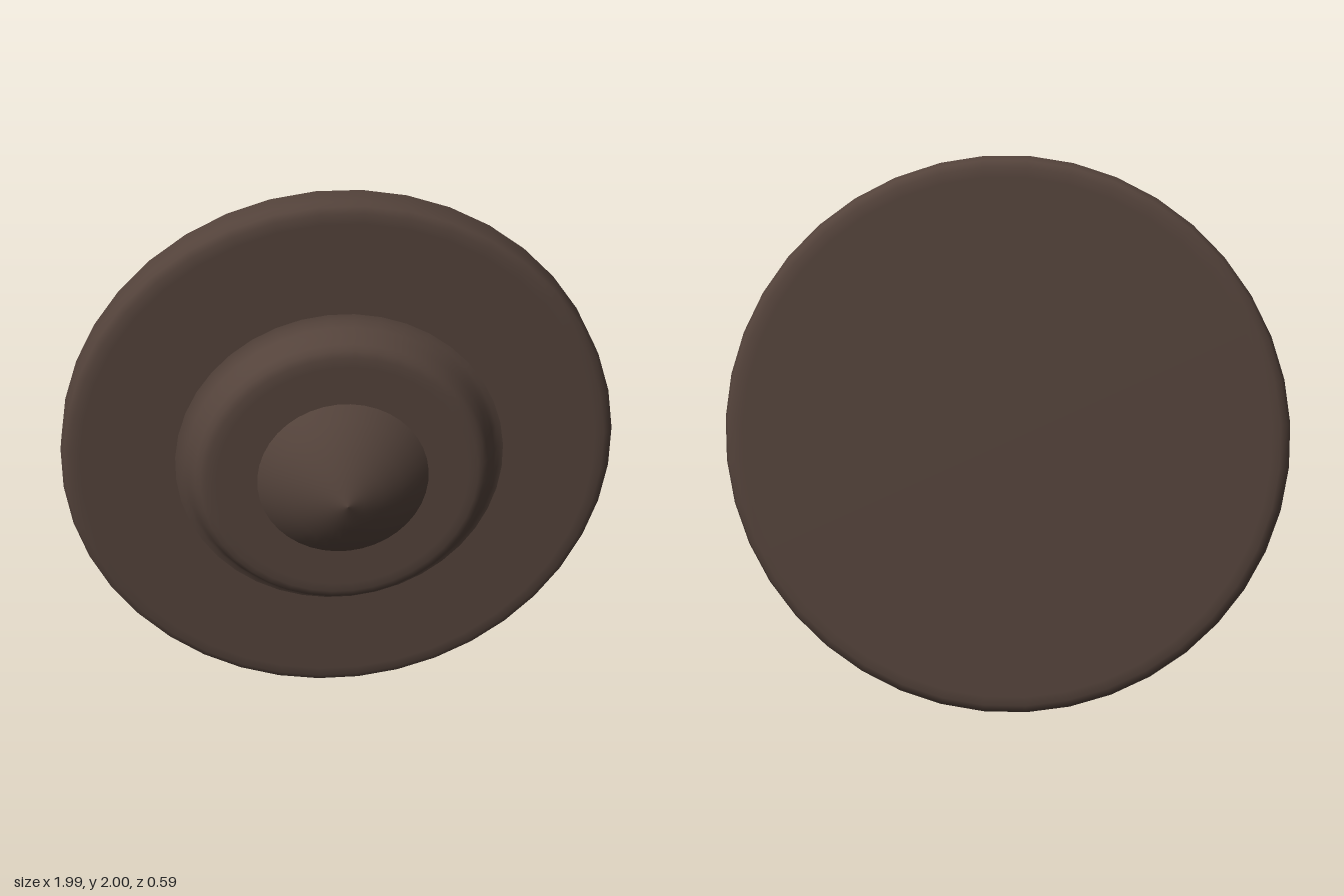
import * as THREE from 'three';

const SEGMENTS = 40;

export function createModel() {
  const model = new THREE.Group();
  model.name = 'bossedDisc';
  const material = new THREE.MeshStandardMaterial({ color: 0x54433b });

  // The disc leans slightly to its right and downwards
  const disc = new THREE.Group();
  disc.name = 'tiltedDisc';
  disc.position.set(0, 1, -0.093);
  disc.quaternion.setFromUnitVectors(
    new THREE.Vector3(0, 0, 1),
    new THREE.Vector3(-0.122, -0.05, 1).normalize()
  );
  model.add(disc);

  // Turned part: [radius, distance along the axis] from back to front
  const turned = (name, profile) => {
    const points = profile.map(([r, d]) => new THREE.Vector2(r, d));
    const geometry = new THREE.LatheGeometry(points, SEGMENTS, Math.PI / SEGMENTS);
    geometry.rotateX(Math.PI / 2);
    const mesh = new THREE.Mesh(geometry, material);
    mesh.name = name;
    disc.add(mesh);
  };

  // Flat plate with a softly rounded rim
  turned('plate', [
    [0, -0.082], [0.93, -0.082], [0.965, -0.079], [0.988, -0.068], [1, -0.045],
    [1, 0.045], [0.988, 0.068], [0.965, 0.079], [0.93, 0.082], [0, 0.082],
  ]);

  // Raised step, flared at its foot and rounded at its shoulder
  turned('raisedStep', [
    [0.6, 0.08], [0.575, 0.088], [0.557, 0.11], [0.543, 0.14], [0.525, 0.175],
    [0.508, 0.193], [0.485, 0.201], [0.45, 0.203], [0, 0.203],
  ]);

  // Pointed central boss with gently bulging sides
  turned('centralBoss', [
    [0.315, 0.195], [0.306, 0.203], [0.26, 0.248], [0.2, 0.294],
    [0.13, 0.336], [0.06, 0.368], [0, 0.388],
  ]);

  return model;
}
